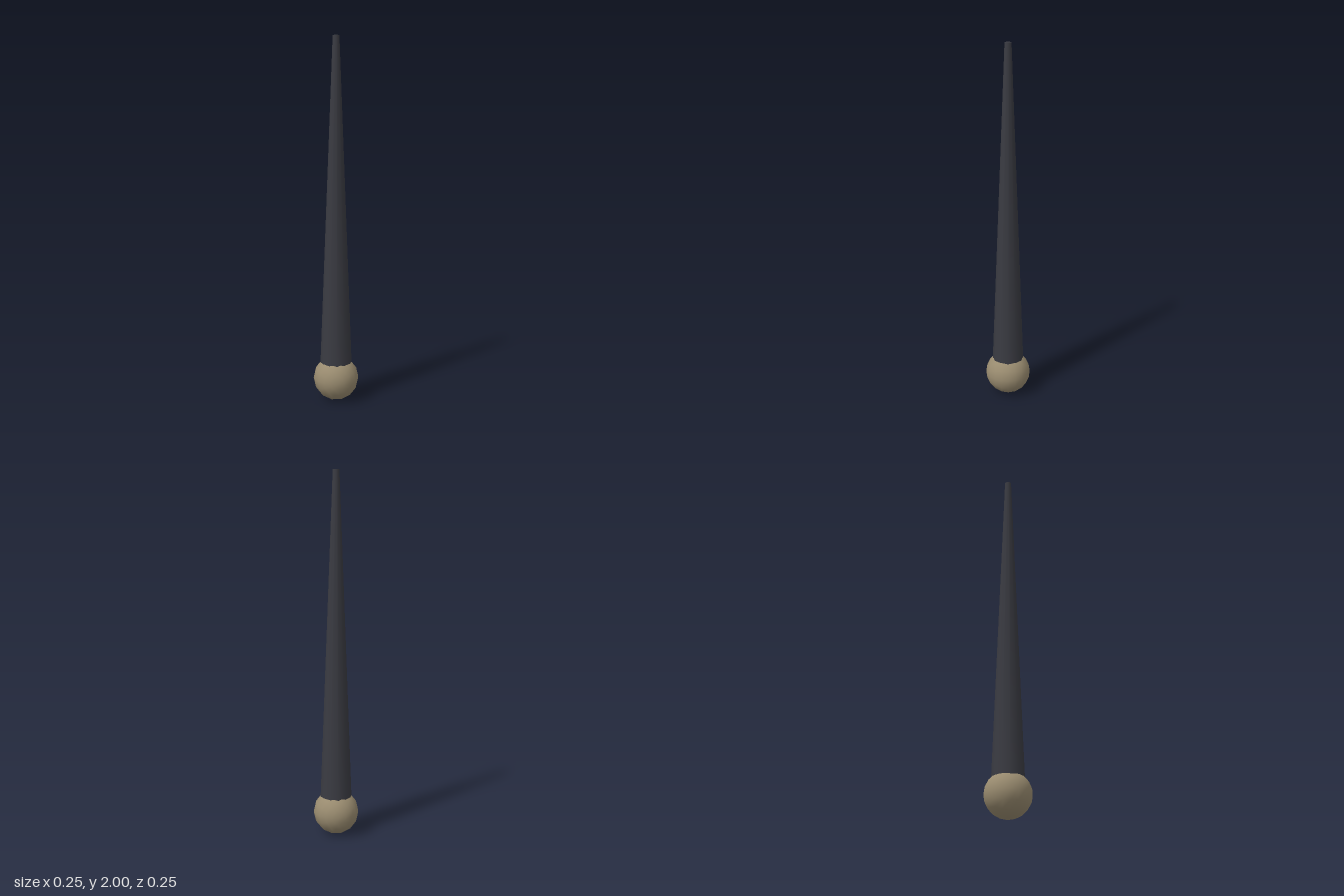
import * as THREE from 'three';

export function createModel() {
  const model = new THREE.Group();

  // Ball at the foot, poles facing front and back
  const ballGeometry = new THREE.SphereGeometry(0.125, 14, 10);
  ballGeometry.rotateX(Math.PI / 2);
  const ball = new THREE.Mesh(ballGeometry, new THREE.MeshStandardMaterial({ color: 0x9a8c70 }));
  ball.name = 'ball';
  ball.position.y = 0.123;
  model.add(ball);

  // Long tapered shaft with a small flat tip
  const bottom = 0.207, top = 2;
  const shaft = new THREE.Mesh(
    new THREE.CylinderGeometry(0.018, 0.087, top - bottom, 12),
    new THREE.MeshStandardMaterial({ color: 0x3a3b42 })
  );
  shaft.name = 'taperedShaft';
  shaft.position.y = (top + bottom) / 2;
  model.add(shaft);

  return model;
}
